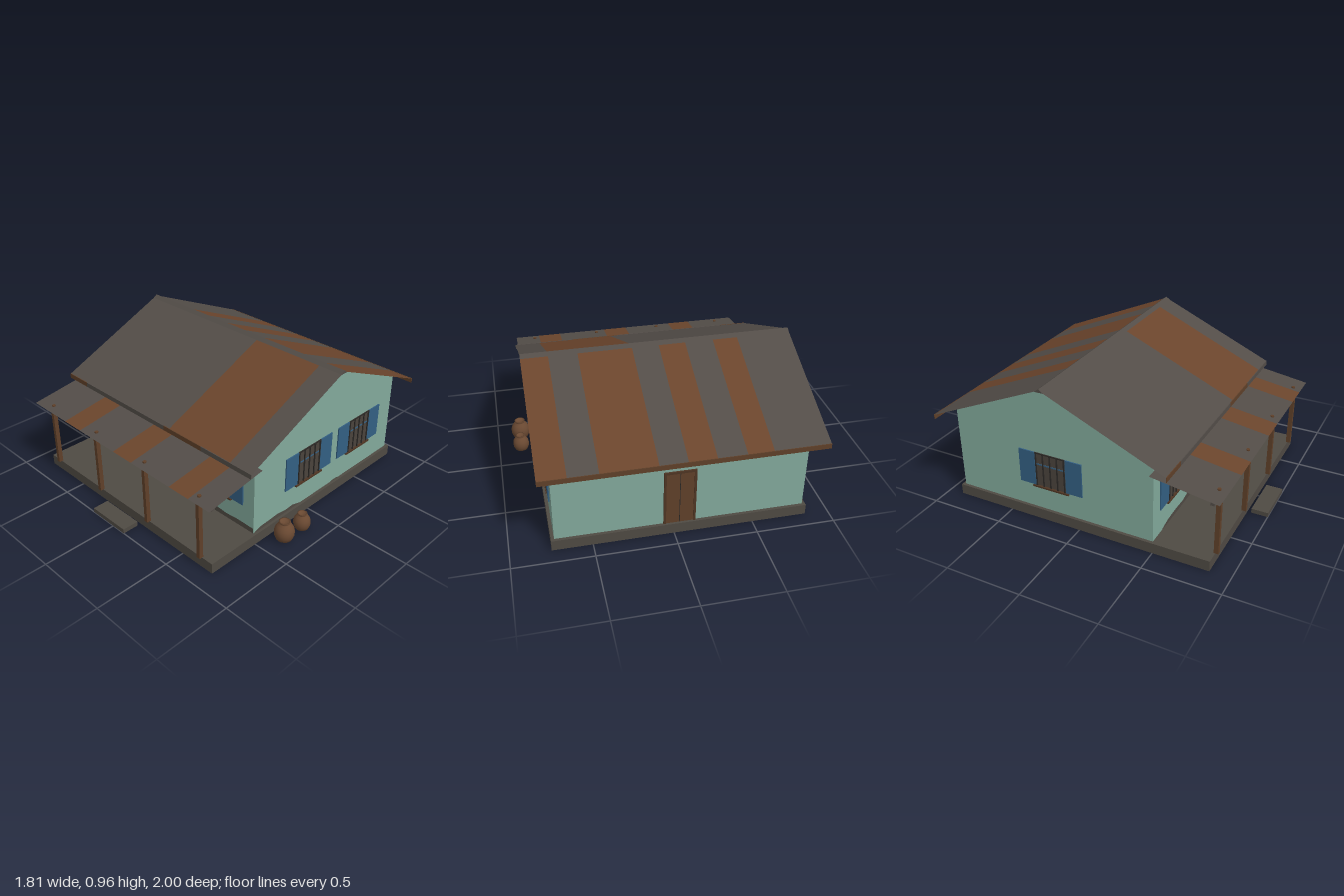
import * as THREE from 'three';

const mat = (name, color, side = THREE.FrontSide) => {
  const m = new THREE.MeshStandardMaterial({ color, side });
  m.name = name;
  return m;
};

export function createModel() {
  const M = {
    wall: mat('green plaster', 0x82a99b),
    slab: mat('concrete', 0x4f4a43),
    roof: mat('grey metal sheet', 0x534d48, THREE.DoubleSide),
    rust: mat('rusted sheet', 0x6b452c, THREE.DoubleSide),
    blue: mat('blue paint', 0x335f82),
    wood: mat('brown wood', 0x5f4029),
    door: mat('dark wood', 0x4f3523),
    pane: mat('window pane', 0x4a433c),
    iron: mat('iron', 0x2c2926),
    clay: mat('clay', 0x6a4932),
  };
  const house = new THREE.Group();
  house.name = 'house';

  const add = (name, geometry, material, parent = house) => {
    const mesh = new THREE.Mesh(geometry, material);
    mesh.name = name;
    parent.add(mesh);
    return mesh;
  };
  // Box given by its limits on each axis
  const box = (name, material, [x0, x1], [y0, y1], [z0, z1], parent = house) => {
    const mesh = add(name, new THREE.BoxGeometry(x1 - x0, y1 - y0, z1 - z0), material, parent);
    mesh.position.set((x0 + x1) / 2, (y0 + y1) / 2, (z0 + z1) / 2);
    return mesh;
  };

  // Foundation and front step
  box('foundation', M.slab, [-0.85, 0.75], [0, 0.07], [-0.9, 0.865]);
  box('frontStep', M.slab, [-0.2, 0.105], [0, 0.03], [0.89, 1]);

  // Walls with gable ends, extruded along x
  const gable = new THREE.Shape([[-0.495, 0.07], [0.88, 0.07], [0.88, 0.64], [0.193, 0.941], [-0.495, 0.64]]
    .map(([u, v]) => new THREE.Vector2(u, v)));
  const walls = add('walls', new THREE.ExtrudeGeometry(gable, { depth: 1.56, bevelEnabled: false }), M.wall);
  walls.rotation.y = Math.PI / 2;
  walls.position.x = -0.83;

  // Sloping sheet between two edges, cut into plain and rusted strips along x
  const slope = (name, x0, x1, [zTop, yTop], [zLow, yLow], rusty) => {
    const group = new THREE.Group();
    group.name = name;
    house.add(group);
    const strip = (a, b, material, label) => {
      if (b - a < 0.001) return;
      const g = new THREE.PlaneGeometry(b - a, 1);
      const p = g.attributes.position;
      for (let i = 0; i < p.count; i++) {
        const top = p.getY(i) > 0;
        p.setXYZ(i, p.getX(i) + (a + b) / 2, top ? yTop : yLow, top ? zTop : zLow);
      }
      // Keep the outer face turned upward on the back slope too
      if (zLow < zTop) g.setIndex([...g.index.array].reverse());
      g.computeVertexNormals();
      add(label, g, material, group);
    };
    let x = x0;
    for (const [a, b] of rusty) {
      strip(x, a, M.roof, 'plainSheet');
      strip(a, b, M.rust, 'rustedSheet');
      x = b;
    }
    strip(x, x1, M.roof, 'plainSheet');
  };
  slope('frontRoof', -0.91, 0.81, [-0.193, 0.95], [0.61, 0.598], [[0.12, 0.64]]);
  slope('backRoof', -0.91, 0.81, [-0.193, 0.95], [-0.997, 0.598],
    [[-0.56, -0.4], [-0.22, -0.05], [0.12, 0.46], [0.64, 0.81]]);
  slope('porchRoof', -0.89, 0.79, [0.495, 0.562], [0.92, 0.498],
    [[-0.55, -0.39], [-0.05, 0.12], [0.46, 0.62]]);

  // Ridge cap
  const capShape = new THREE.Shape([[-0.03, -0.022], [0.03, -0.022], [0, 0]].map(([u, v]) => new THREE.Vector2(u, v)));
  const cap = add('ridgeCap', new THREE.ExtrudeGeometry(capShape, { depth: 1.72, bevelEnabled: false }), M.roof);
  cap.rotation.y = Math.PI / 2;
  cap.position.set(-0.91, 0.958, -0.193);

  // Eave boards, the front one weathered in patches
  box('backEaveBoard', M.wood, [-0.91, 0.81], [0.568, 0.6], [-1, -0.995]);
  for (const [a, b, m] of [[-0.91, -0.72, M.wood], [-0.72, 0.07, M.roof], [0.07, 0.4, M.wood], [0.4, 0.81, M.roof]])
    box('frontEaveBoard', m, [a, b], [0.568, 0.6], [0.608, 0.613]);

  // Porch beam, posts and roof bolts
  box('porchBeam', M.roof, [-0.87, 0.77], [0.472, 0.496], [0.857, 0.882]);
  for (const x of [-0.755, -0.285, 0.185, 0.655]) {
    box('porchPost', M.wood, [x - 0.0125, x + 0.0125], [0.07, 0.5], [0.855, 0.884]);
    add('roofBolt', new THREE.CylinderGeometry(0.012, 0.012, 0.01, 8), M.wood).position.set(x, 0.509, 0.865);
  }

  // Shuttered, barred window facing local +z, with its middle at y = 0.353
  const shutteredWindow = (x, z, turn) => {
    const w = new THREE.Group();
    w.name = 'window';
    w.position.set(x, 0, z);
    w.rotation.y = turn;
    house.add(w);
    box('pane', M.pane, [-0.108, 0.108], [0.235, 0.472], [-0.002, 0.002], w);
    box('crossBar', M.blue, [-0.108, 0.108], [0.386, 0.394], [0.001, 0.005], w);
    for (const s of [-1, 1]) {
      const xs = [s * 0.108, s * 0.222].sort((a, b) => a - b);
      box('shutter', M.blue, xs, [0.238, 0.472], [-0.002, 0.008], w);
    }
    for (let i = 0; i < 5; i++) {
      const bx = -0.1 + i * 0.05;
      box('ironBar', M.iron, [bx - 0.004, bx + 0.004], [0.235, 0.472], [0.004, 0.01], w);
    }
    box('lintel', M.iron, [-0.108, 0.108], [0.466, 0.473], [0.003, 0.009], w);
    box('sill', M.door, [-0.127, 0.127], [0.226, 0.237], [-0.002, 0.015], w);
  };
  shutteredWindow(-0.517, 0.495, 0);
  shutteredWindow(0.42, 0.495, 0);
  shutteredWindow(0.73, -0.005, Math.PI / 2);
  shutteredWindow(0.73, -0.517, Math.PI / 2);
  shutteredWindow(-0.83, -0.2, -Math.PI / 2);

  // Double front door with frame
  for (const [a, b] of [[-0.198, -0.051], [-0.049, 0.1]])
    box('frontDoorLeaf', M.blue, [a, b], [0.07, 0.485], [0.493, 0.503]);
  box('frontDoorGap', M.iron, [-0.051, -0.049], [0.07, 0.485], [0.493, 0.5]);
  for (const x of [-0.207, 0.1]) box('frontDoorJamb', M.door, [x, x + 0.009], [0.07, 0.5], [0.493, 0.505]);
  box('frontDoorHead', M.door, [-0.207, 0.109], [0.485, 0.5], [0.493, 0.505]);

  // Back door with frame
  box('backDoor', M.wood, [-0.12, 0.05], [0.07, 0.44], [-0.885, -0.878]);
  box('backDoorGap', M.iron, [-0.037, -0.033], [0.07, 0.44], [-0.886, -0.88]);
  for (const x of [-0.135, 0.05]) box('backDoorJamb', M.door, [x, x + 0.015], [0.07, 0.455], [-0.89, -0.878]);
  box('backDoorHead', M.door, [-0.135, 0.065], [0.44, 0.455], [-0.89, -0.878]);

  // Damp stains: flat shapes with an uneven edge, facing local +z
  const stain = (points, base, x, z, turn) => {
    const n = points.length - 1;
    const shape = new THREE.Shape([[points[0][0], base], [points[n][0], base], ...points.slice().reverse()]
      .map(([u, v]) => new THREE.Vector2(u, v)));
    const mesh = add('dampStain', new THREE.ShapeGeometry(shape), M.slab);
    mesh.position.set(x, 0, z);
    mesh.rotation.y = turn;
  };
  stain([[-0.7, 0.08], [-0.62, 0.098], [-0.5, 0.102], [-0.4, 0.098], [-0.33, 0.112], [-0.24, 0.1], [-0.1, 0.098],
    [0.1, 0.092], [0.17, 0.11], [0.23, 0.118], [0.3, 0.104], [0.42, 0.108], [0.5, 0.1], [0.6, 0.108], [0.73, 0.105]],
  0.07, 0, 0.4975, 0);
  stain([[-0.49, 0.074], [-0.43, 0.092], [-0.36, 0.095], [-0.28, 0.1], [-0.2, 0.09], [-0.14, 0.094], [-0.06, 0.072]],
    0.07, 0.7325, 0, Math.PI / 2);
  stain([[0.24, 0.071], [0.27, 0.079], [0.31, 0.079], [0.34, 0.071]], 0.07, 0.7325, 0, Math.PI / 2);
  // Stain below the back eave, its uneven edge hanging down
  const drip = new THREE.Shape();
  drip.moveTo(0.83, 0.64);
  drip.lineTo(-0.73, 0.64);
  for (let i = 0; i <= 24; i++) drip.lineTo(-0.73 + i * 0.065, 0.612 + 0.008 * Math.sin(i * 1.7) + 0.006 * Math.sin(i * 0.6));
  const dripMesh = add('eaveStain', new THREE.ShapeGeometry(drip), M.slab);
  dripMesh.position.z = -0.8825;
  dripMesh.rotation.y = Math.PI;

  // Clay pots beside the house
  const profile = [[0, 0], [0.28, 0], [0.38, 0.06], [0.46, 0.25], [0.48, 0.45], [0.44, 0.64], [0.34, 0.8],
    [0.24, 0.89], [0.23, 0.94], [0.27, 1], [0.21, 1], [0.18, 0.92], [0, 0.9]];
  for (const [x, z, h] of [[0.84, 0.335, 0.135], [0.848, 0.178, 0.115]]) {
    const pts = profile.map(([r, y]) => new THREE.Vector2(r * h, y * h));
    add('clayPot', new THREE.LatheGeometry(pts, 18), M.clay).position.set(x, 0, z);
  }
  return house;
}
